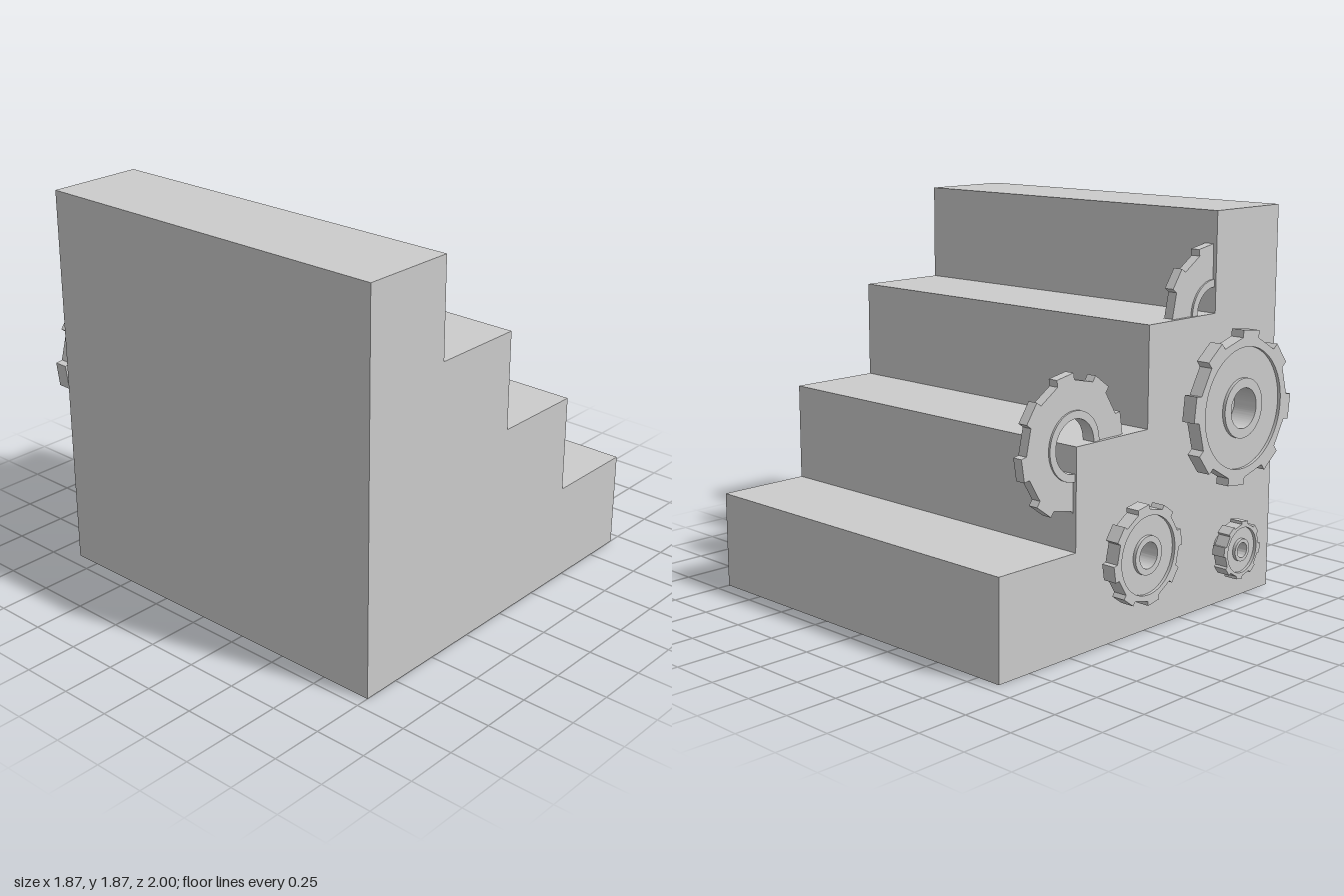
import * as THREE from 'three';
import { toCreasedNormals } from 'three/addons/utils/BufferGeometryUtils.js';

const TEETH = 8;
const grey = new THREE.MeshStandardMaterial({ color: 0xcccccc });

// Extrudes a shape from z0 to z1, smooth on round walls and sharp on edges
function slab(name, shape, z0, z1) {
  const geo = new THREE.ExtrudeGeometry(shape, { depth: z1 - z0, bevelEnabled: false, curveSegments: 64 });
  geo.translate(0, 0, z0);
  const mesh = new THREE.Mesh(toCreasedNormals(geo, 0.4), grey);
  mesh.name = name;
  return mesh;
}

function cutHole(shape, r) {
  shape.holes.push(new THREE.Path().absarc(0, 0, r, 0, Math.PI * 2, true));
  return shape;
}

function annulus(outer, inner) {
  return cutHole(new THREE.Shape().absarc(0, 0, outer, 0, Math.PI * 2, false), inner);
}

// Gear outline: straight-sided teeth on a faceted root circle
function toothedRing(R, hole, phaseDeg) {
  const points = [];
  const root = R * 0.905, half = R * 0.165;
  const tip = Math.sqrt(R * R - half * half);
  const base = Math.sqrt(root * root - half * half);
  for (let i = 0; i < TEETH; i++) {
    const a = THREE.MathUtils.degToRad(phaseDeg) + (i * Math.PI * 2) / TEETH;
    for (const [x, y] of [[base, -half], [tip, -half], [tip, half], [base, half]]) {
      points.push(new THREE.Vector2(x, y).rotateAround(new THREE.Vector2(), a));
    }
  }
  return cutHole(new THREE.Shape(points), hole);
}

// Thin gear with a slightly raised collar around its open centre
function thinGear(name, x, y) {
  const gear = new THREE.Group();
  gear.name = name;
  gear.add(slab('toothedPlate', toothedRing(0.317, 0.155, 80), -0.855, -0.808));
  gear.add(slab('collar', annulus(0.155, 0.12), -0.864, -0.8));
  gear.position.set(x, y, 0);
  return gear;
}

// Thick gear with a recessed web, carried on a hollow hub against the back wall
function hubGear(name, x, y, R, phaseDeg) {
  const gear = new THREE.Group();
  gear.name = name;
  const rim = R * 0.78, hub = R * 0.385, bore = R * 0.26;
  gear.add(slab('toothedRim', toothedRing(R, rim, phaseDeg), -1, -0.932));
  gear.add(slab('web', annulus(rim, hub), -0.985, -0.932));
  gear.add(slab('hub', annulus(hub, bore), -1, -0.875));
  gear.position.set(x, y, 0);
  return gear;
}

// Four equal steps climbing towards -x
function staircase() {
  const step = 0.4675, half = 0.935;
  const profile = new THREE.Shape();
  profile.moveTo(-half, 0);
  profile.lineTo(half, 0);
  for (let i = 0; i < 4; i++) {
    profile.lineTo(half - i * step, (i + 1) * step);
    profile.lineTo(half - (i + 1) * step, (i + 1) * step);
  }
  return slab('staircase', profile, -0.873, 1);
}

export function createModel() {
  const model = new THREE.Group();
  model.name = 'gearStaircase';
  model.add(
    staircase(),
    thinGear('lowerStepGear', 0.4675, 0.935),
    thinGear('upperStepGear', -0.4675, 1.4025),
    hubGear('largeBackGear', -0.535, 0.968, 0.366, 97),
    hubGear('mediumBackGear', 0.13, 0.41, 0.232, 80),
    hubGear('smallBackGear', -0.555, 0.285, 0.14, 97),
  );
  return model;
}
